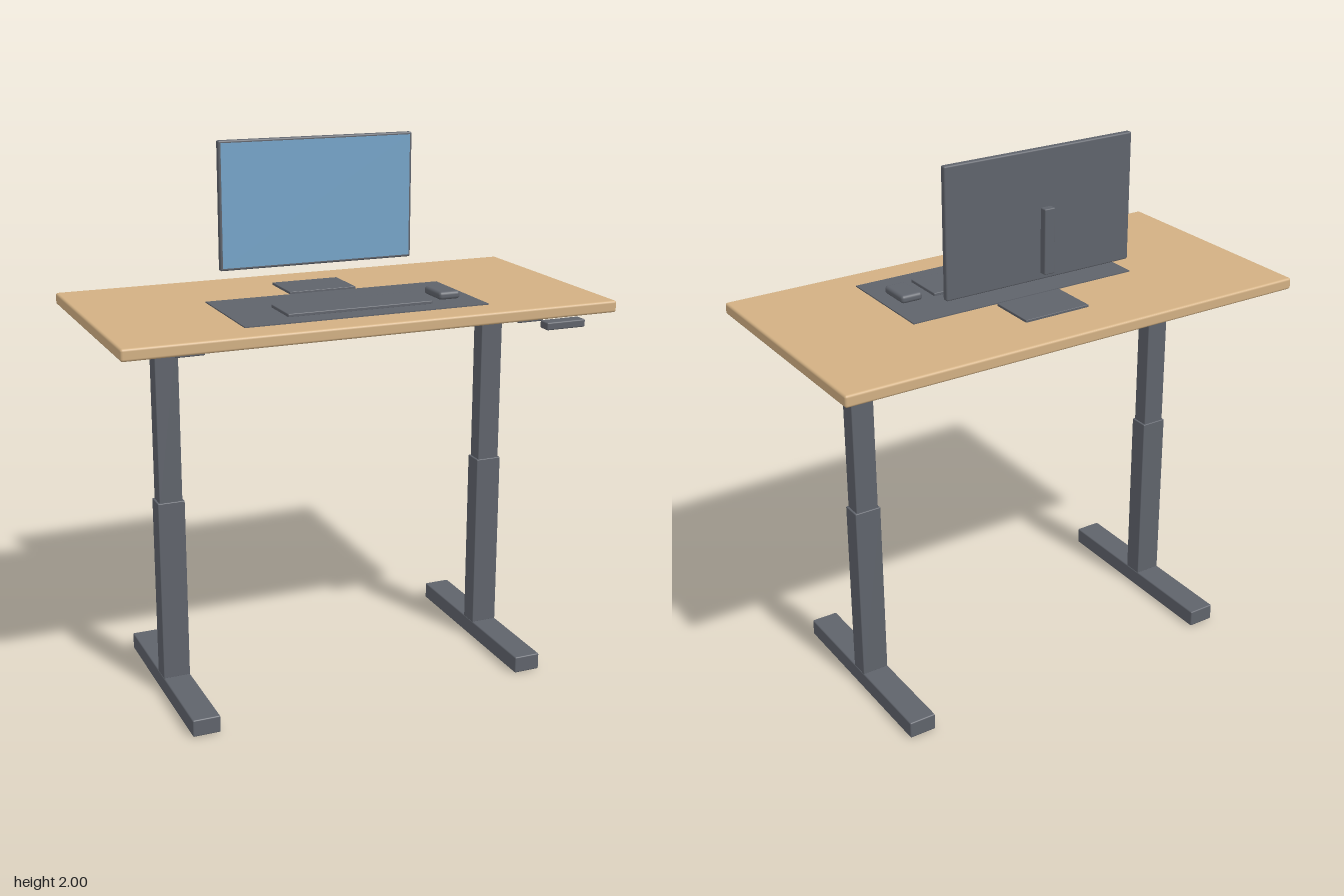
import * as THREE from 'three';
import { RoundedBoxGeometry } from 'three/addons/geometries/RoundedBoxGeometry.js';

export function createModel() {
  const model = new THREE.Group();
  model.name = 'standingDesk';

  const mat = (name, color) => {
    const m = new THREE.MeshStandardMaterial({ color });
    m.name = name;
    return m;
  };
  const wood = mat('wood', 0xd2b083);
  const grey = mat('darkGrey', 0x5f636b);
  const blue = mat('screenBlue', 0x74a3c7);

  // Box given by its extents on each axis, with optional softened edges
  const box = (name, material, [x0, x1], [y0, y1], [z0, z1], radius = 0, parent = model) => {
    const size = [x1 - x0, y1 - y0, z1 - z0];
    const geometry = radius
      ? new RoundedBoxGeometry(...size, 3, radius)
      : new THREE.BoxGeometry(...size);
    const mesh = new THREE.Mesh(geometry, material);
    mesh.name = name;
    mesh.position.set((x0 + x1) / 2, (y0 + y1) / 2, (z0 + z1) / 2);
    parent.add(mesh);
    return mesh;
  };

  // Tabletop
  box('tabletop', wood, [-0.912, 0.912], [1.397, 1.44], [-0.459, 0.451], 0.009);

  // Two telescopic legs, each with a foot and a top bracket
  const zc = -0.004;
  for (const side of [-1, 1]) {
    const leg = new THREE.Group();
    leg.name = side > 0 ? 'leftLeg' : 'rightLeg';
    leg.position.set(side * 0.641, 0, zc);
    model.add(leg);
    box('foot', grey, [-0.051, 0.051], [0.002, 0.066], [-0.388, 0.388], 0.005, leg);
    box('lowerColumn', grey, [-0.05, 0.05], [0.064, 0.75], [-0.037, 0.037], 0.003, leg);
    box('upperColumn', grey, [-0.043, 0.043], [0.74, 1.36], [-0.032, 0.032], 0.003, leg);
    box('topBracket', grey, [-0.051, 0.051], [1.356, 1.398], [-0.318, 0.318], 0.004, leg);
    // Levelling pads under the foot
    for (const end of [-1, 1]) {
      const pad = new THREE.Mesh(new THREE.CylinderGeometry(0.025, 0.025, 0.006, 20), grey);
      pad.name = 'levellingPad';
      pad.position.set(0, 0.003, end * 0.33);
      leg.add(pad);
    }
  }

  // Rail joining the legs
  box('crossRail', grey, [-0.686, 0.686], [1.312, 1.376], [zc - 0.051, zc + 0.051], 0.003);

  // Height control under the front edge
  box('heightControl', grey, [0.624, 0.778], [1.358, 1.386], [0.408, 0.459], 0.005);

  // Monitor
  box('monitorBody', grey, [-0.377, 0.377], [1.534, 2], [-0.172, -0.148], 0.006);
  box('screen', blue, [-0.368, 0.368], [1.543, 1.991], [-0.15, -0.1465]);
  box('monitorNeck', grey, [-0.021, 0.021], [1.572, 1.807], [-0.229, -0.2], 0.004);
  box('monitorBase', grey, [-0.13, 0.13], [1.438, 1.449], [-0.28, -0.098], 0.002);

  // Desk mat, keyboard and mouse
  box('deskMat', grey, [-0.457, 0.457], [1.438, 1.444], [-0.084, 0.332]);
  box('keyboard', grey, [-0.273, 0.273], [1.442, 1.455], [0.09, 0.256], 0.003);
  box('mouse', grey, [0.321, 0.405], [1.442, 1.472], [0.086, 0.216], 0.012);

  return model;
}
